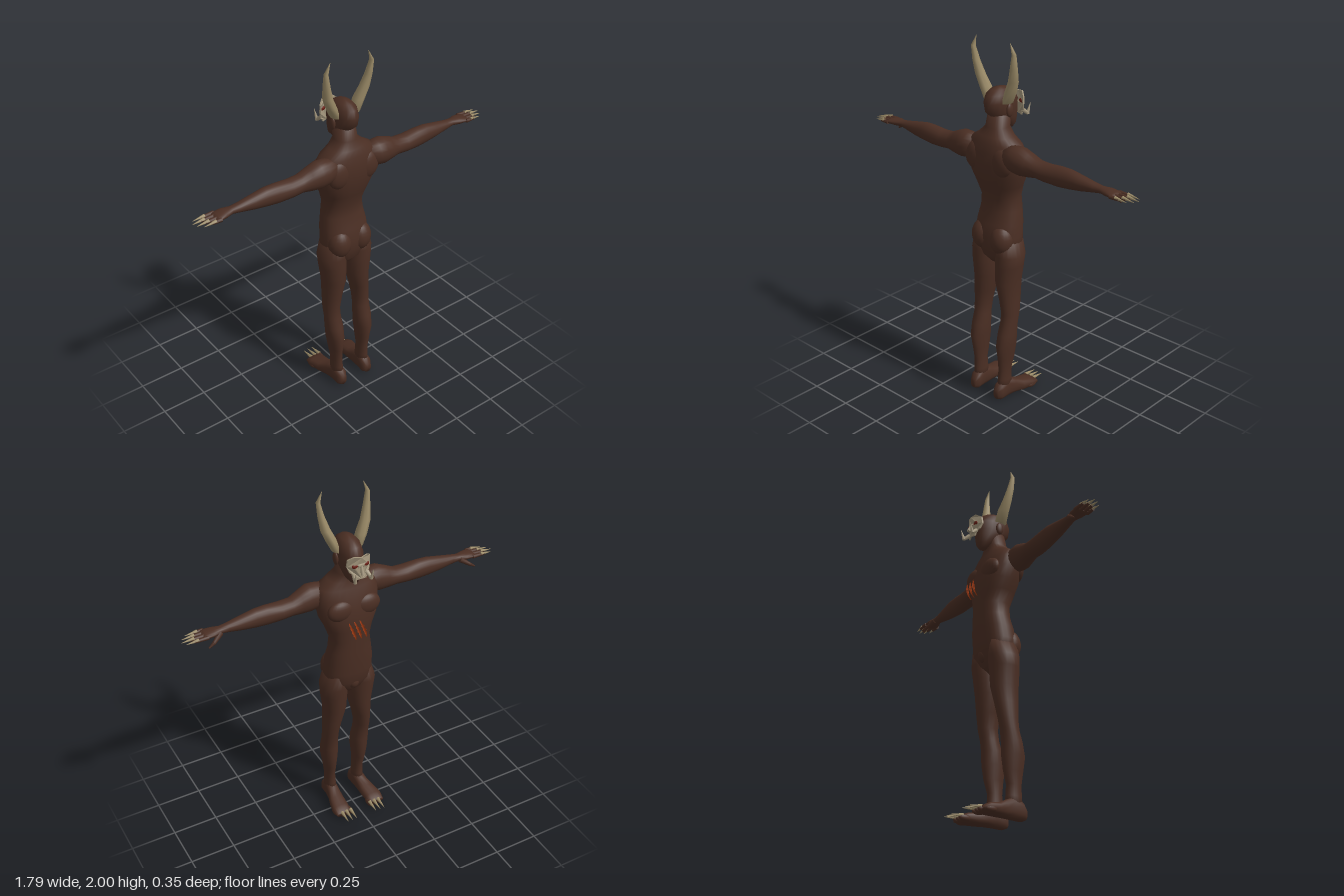
import * as THREE from 'three';

const mat = (name, color, side = THREE.FrontSide) => {
  const m = new THREE.MeshStandardMaterial({ color, side });
  m.name = name;
  return m;
};

// Smooth skin over elliptical sections [t, a, b, ra, rb]; t runs along the axis.
const place = {
  y: (t, a, b) => [a, t, b],
  x: (t, a, b) => [t, b, a],
  z: (t, a, b) => [b, a, t],
};
function loft(axis, sections, sides = 20, square = 1) {
  const pos = [], index = [], n = sections.length;
  const pow = v => Math.sign(v) * Math.abs(v) ** square;
  for (const [t, a, b, ra, rb] of sections) {
    for (let j = 0; j < sides; j++) {
      const w = j / sides * Math.PI * 2;
      pos.push(...place[axis](t, a + ra * pow(Math.cos(w)), b + rb * pow(Math.sin(w))));
    }
  }
  for (let i = 0; i < n - 1; i++) {
    for (let j = 0; j < sides; j++) {
      const k = (j + 1) % sides, p = i * sides, q = p + sides;
      index.push(p + j, q + j, p + k, p + k, q + j, q + k);
    }
  }
  for (const end of [0, n - 1]) {
    const c = pos.length / 3, p = end * sides;
    pos.push(...place[axis](...sections[end].slice(0, 3)));
    for (let j = 0; j < sides; j++) {
      const k = (j + 1) % sides;
      index.push(c, ...(end ? [p + k, p + j] : [p + j, p + k]));
    }
  }
  const g = new THREE.BufferGeometry();
  g.setAttribute('position', new THREE.Float32BufferAttribute(pos, 3));
  g.setIndex(index);
  g.computeVertexNormals();
  return g;
}

// Tapered rod between two points.
function spike(from, to, r0, r1 = 0.001, sides = 8) {
  const a = new THREE.Vector3(...from), d = new THREE.Vector3(...to).sub(a);
  const g = new THREE.CylinderGeometry(r1, r0, d.length(), sides);
  g.translate(0, d.length() / 2, 0);
  g.applyQuaternion(new THREE.Quaternion().setFromUnitVectors(new THREE.Vector3(0, 1, 0), d.normalize()));
  return g.translate(a.x, a.y, a.z);
}

function ellipsoid(x, y, z, rx, ry, rz) {
  return new THREE.SphereGeometry(1, 20, 14).scale(rx, ry, rz).translate(x, y, z);
}

function mirrored(geometry) {
  const g = geometry.clone().scale(-1, 1, 1), ix = g.index.array;
  for (let i = 0; i < ix.length; i += 3) [ix[i], ix[i + 1]] = [ix[i + 1], ix[i]];
  g.computeVertexNormals();
  return g;
}

export function createModel() {
  const skin = mat('dark brown skin', 0x4a2e23);
  const horn = mat('horn', 0x9a8a67);
  const bone = mat('bone mask', 0xa0937a, THREE.DoubleSide);
  const eyeRed = mat('red eyes', 0x6a2015, THREE.DoubleSide);
  const scarRed = mat('orange red scars', 0x9a3812, THREE.DoubleSide);

  const model = new THREE.Group();
  model.name = 'hornedFigure';
  const add = (name, geometry, material) => {
    const m = new THREE.Mesh(geometry, material);
    m.name = name;
    model.add(m);
  };
  const pair = (name, geometry, material) => {
    add(name + 'Left', geometry, material);
    add(name + 'Right', mirrored(geometry), material);
  };

  // Torso and neck
  add('torso', loft('y', [
    [0.80, 0, 0.06, 0.03, 0.04], [0.84, 0, 0.058, 0.1, 0.075], [0.9, 0, 0.052, 0.138, 0.095],
    [0.96, 0, 0.052, 0.134, 0.1], [1.03, 0, 0.042, 0.13, 0.096], [1.1, 0, 0.031, 0.118, 0.086],
    [1.17, 0, 0.032, 0.108, 0.088], [1.24, 0, 0.043, 0.13, 0.1], [1.3, 0, 0.05, 0.158, 0.11],
    [1.37, 0, 0.06, 0.17, 0.11], [1.43, 0, 0.066, 0.172, 0.1], [1.475, 0, 0.07, 0.155, 0.086],
    [1.51, 0, 0.07, 0.1, 0.074], [1.55, 0, 0.06, 0.06, 0.06], [1.62, 0, 0.045, 0.054, 0.062],
  ], 28, 0.88), skin);
  pair('pectoral', ellipsoid(0.075, 1.365, -0.02, 0.075, 0.06, 0.037), skin);
  pair('shoulderBlade', ellipsoid(0.085, 1.39, 0.13, 0.07, 0.08, 0.038), skin);
  pair('buttock', ellipsoid(0.064, 0.945, 0.098, 0.066, 0.085, 0.066), skin);
  add('groin', ellipsoid(0, 0.89, -0.01, 0.035, 0.045, 0.035), skin);

  // Head, ears and brow
  add('head', loft('y', [
    [1.525, 0, -0.022, 0.02, 0.022], [1.55, 0, -0.012, 0.042, 0.045], [1.59, 0, 0.012, 0.055, 0.076],
    [1.63, 0, 0.034, 0.062, 0.1], [1.68, 0, 0.038, 0.064, 0.106], [1.72, 0, 0.045, 0.055, 0.085],
    [1.743, 0, 0.048, 0.035, 0.052], [1.752, 0, 0.05, 0.008, 0.012],
  ]), skin);
  pair('ear', ellipsoid(0.068, 1.64, 0.045, 0.012, 0.035, 0.022), skin);

  // Horns
  pair('horn', loft('y', [
    [1.68, 0.062, 0.055, 0.022, 0.036], [1.74, 0.085, 0.058, 0.029, 0.034],
    [1.8, 0.111, 0.067, 0.027, 0.027], [1.87, 0.126, 0.08, 0.019, 0.021],
    [1.945, 0.136, 0.09, 0.011, 0.013], [2.0, 0.113, 0.092, 0.001, 0.001],
  ], 8), horn);

  // Legs and feet
  pair('leg', loft('y', [
    [0.07, 0.088, 0.105, 0.032, 0.05], [0.12, 0.088, 0.105, 0.03, 0.045], [0.18, 0.09, 0.105, 0.029, 0.042],
    [0.25, 0.093, 0.1, 0.034, 0.056], [0.33, 0.095, 0.1, 0.045, 0.066], [0.4, 0.096, 0.092, 0.048, 0.058],
    [0.46, 0.097, 0.08, 0.044, 0.052], [0.52, 0.098, 0.07, 0.044, 0.056], [0.6, 0.09, 0.066, 0.05, 0.066],
    [0.7, 0.077, 0.063, 0.063, 0.078], [0.8, 0.081, 0.06, 0.073, 0.083], [0.86, 0.083, 0.056, 0.076, 0.086],
    [0.95, 0.072, 0.055, 0.058, 0.085],
  ]), skin);
  pair('foot', loft('z', [
    [-0.1, 0.026, 0.105, 0.014, 0.045], [-0.06, 0.032, 0.106, 0.028, 0.05], [0, 0.038, 0.1, 0.034, 0.045],
    [0.05, 0.05, 0.092, 0.046, 0.037], [0.1, 0.062, 0.088, 0.06, 0.034], [0.15, 0.05, 0.087, 0.049, 0.034],
    [0.173, 0.04, 0.087, 0.028, 0.02],
  ], 16, 0.8), skin);
  [0.063, 0.09, 0.117, 0.142].forEach((x, i) => {
    const z = i === 3 ? -0.06 : -0.085;
    pair('toe' + i, ellipsoid(x, 0.025, z, 0.014, 0.017, 0.034), skin);
    if (i < 3) pair('toeClaw' + i, spike([x, 0.036, -0.095], [x, 0.03, -0.172], 0.011), horn);
  });

  // Arms and hands
  pair('arm', loft('x', [
    [0.1, 0.1, 1.42, 0.055, 0.06], [0.16, 0.1, 1.42, 0.064, 0.07], [0.2, 0.1, 1.418, 0.065, 0.074],
    [0.25, 0.095, 1.41, 0.057, 0.062], [0.3, 0.09, 1.402, 0.05, 0.047], [0.36, 0.09, 1.398, 0.05, 0.048],
    [0.44, 0.088, 1.4, 0.045, 0.053], [0.5, 0.086, 1.402, 0.042, 0.05], [0.57, 0.084, 1.4, 0.036, 0.039],
    [0.65, 0.082, 1.4, 0.027, 0.024], [0.69, 0.08, 1.4, 0.024, 0.018], [0.73, 0.08, 1.4, 0.037, 0.019],
    [0.77, 0.083, 1.399, 0.042, 0.014], [0.785, 0.083, 1.398, 0.038, 0.009],
  ]), skin);
  [[0.047, 0.835], [0.071, 0.85], [0.096, 0.84], [0.12, 0.815]].forEach(([z, x], i) => {
    pair('finger' + i, spike([0.765, 1.399, z], [x, 1.398, z], 0.011, 0.008), skin);
    pair('fingerClaw' + i, spike([x - 0.02, 1.402, z], [x + 0.045, 1.396, z], 0.0095), horn);
  });
  pair('thumb', spike([0.695, 1.395, 0.062], [0.745, 1.362, 0.036], 0.016, 0.009), skin);
  pair('thumbTip', spike([0.74, 1.366, 0.038], [0.772, 1.345, 0.035], 0.01, 0.004), skin);

  // Bone mask, bent around the face
  const outline = [[0, 1.7], [0.035, 1.705], [0.062, 1.685], [0.066, 1.645], [0.055, 1.615], [0.038, 1.6], [0.03, 1.575], [0, 1.58]];
  const shape = new THREE.Shape([...outline, ...outline.slice(1, -1).reverse().map(([x, y]) => [-x, y])]
    .map(p => new THREE.Vector2(...p)));
  const ellipse = (x, y, rx, ry) => new THREE.Path().absellipse(x, y, rx, ry, 0, Math.PI * 2);
  for (const s of [-1, 1]) shape.holes.push(ellipse(s * 0.031, 1.652, 0.016, 0.011));
  const maskGeo = new THREE.ExtrudeGeometry(shape, { depth: 0.009, bevelEnabled: false, curveSegments: 8 });
  const p = maskGeo.attributes.position;
  for (let i = 0; i < p.count; i++) p.setZ(i, p.getZ(i) - 0.1 + 8 * p.getX(i) ** 2);
  maskGeo.computeVertexNormals();
  add('mask', maskGeo, bone);
  add('maskNose', spike([0, 1.652, -0.096], [0, 1.608, -0.112], 0.006, 0.011, 6), bone);
  pair('eye', ellipsoid(0.031, 1.652, -0.086, 0.017, 0.012, 0.008), eyeRed);
  pair('tuskRoot', spike([0.036, 1.605, -0.085], [0.045, 1.58, -0.116], 0.012, 0.009), bone);
  pair('tuskTip', spike([0.045, 1.577, -0.114], [0.05, 1.635, -0.13], 0.01), bone);

  // Ragged claw marks in front of the chest
  for (let s = 0; s < 3; s++) {
    const edge = [], back = [], steps = 10;
    for (let i = 0; i <= steps; i++) {
      const t = i / steps, x = 0.062 - s * 0.031 - t * 0.042, y = 1.32 - t * 0.115;
      const w = 0.002 + Math.sin(Math.PI * t) * (i % 2 ? 0.008 : 0.004);
      edge.push(new THREE.Vector2(x - w, y));
      back.unshift(new THREE.Vector2(x + w, y));
    }
    const g = new THREE.ShapeGeometry(new THREE.Shape([...edge, ...back]));
    const q = g.attributes.position;
    for (let i = 0; i < q.count; i++) q.setZ(i, -0.094 + 4 * (q.getY(i) - 1.262) ** 2);
    g.computeVertexNormals();
    add('clawMark' + s, g, scarRed);
  }
  return model;
}
